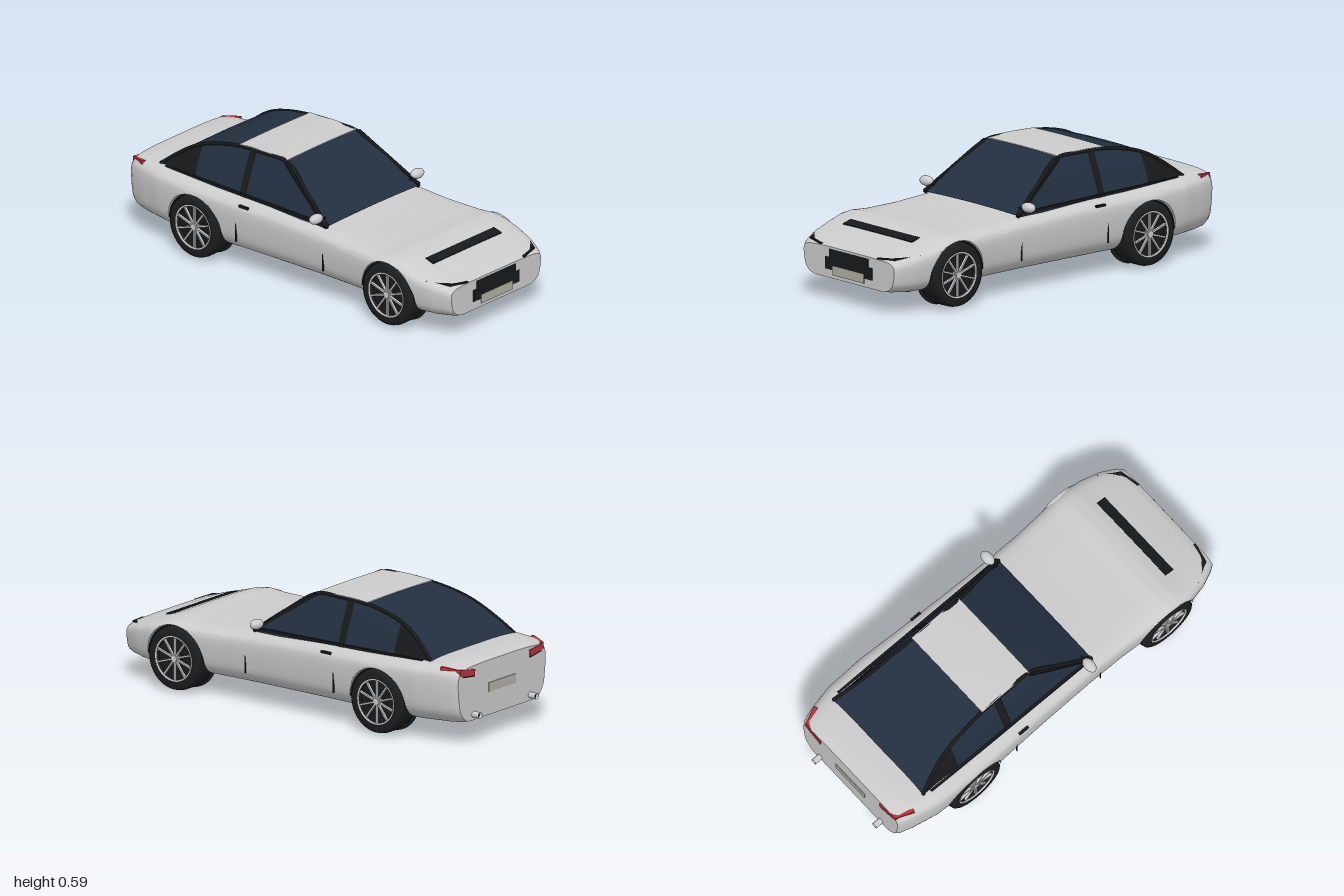
import * as THREE from 'three';
import { toCreasedNormals } from 'three/addons/utils/BufferGeometryUtils.js';

const mat = (color) => new THREE.MeshStandardMaterial({ color, side: THREE.DoubleSide });
const paint = mat(0xcccccc), black = mat(0x17191b), glass = mat(0x232f40), red = mat(0xb8323c);
const plateMat = mat(0xb0b0a6), tyreMat = mat(0x1c1d1f), chrome = mat(0xcccccc);

// Stations along the body: z, half width, bottom, top
const BODY = [
  [0.995, 0.312, 0.1, 0.248], [0.97, 0.33, 0.096, 0.263], [0.9, 0.362, 0.092, 0.285], [0.8, 0.385, 0.09, 0.312],
  [0.73, 0.388, 0.09, 0.335], [0.67, 0.388, 0.09, 0.344], [0.58, 0.385, 0.09, 0.337], [0.4, 0.374, 0.09, 0.34],
  [0.2, 0.371, 0.09, 0.352], [-0.1, 0.377, 0.09, 0.364], [-0.35, 0.386, 0.09, 0.37], [-0.55, 0.395, 0.09, 0.376],
  [-0.75, 0.387, 0.092, 0.385], [-0.88, 0.36, 0.095, 0.386], [-0.94, 0.34, 0.098, 0.38], [-0.96, 0.325, 0.103, 0.365],
];
// Stations along the cabin: z, top height, top half width, base half width
const CABIN = [
  [0.24, 0.352, 0.322, 0.324], [0.08, 0.47, 0.281, 0.324], [-0.07, 0.566, 0.242, 0.325], [-0.2, 0.571, 0.24, 0.325],
  [-0.36, 0.565, 0.24, 0.325], [-0.48, 0.546, 0.247, 0.324], [-0.58, 0.517, 0.256, 0.322], [-0.65, 0.482, 0.268, 0.32],
  [-0.72, 0.434, 0.288, 0.316], [-0.79, 0.378, 0.31, 0.312],
];
const WHEELS = [0.66, -0.525], AXLE = 0.152, ARCH = 0.162;

// Values of a station table at any z
function at(table, z) {
  let i = 0;
  while (i < table.length - 2 && z < table[i + 1][0]) i++;
  const a = table[i], b = table[i + 1], t = (z - a[0]) / (b[0] - a[0]);
  return a.map((v, k) => v + (b[k] - v) * t);
}

// Surface through rows of points
function sheet(rows, crease = 0.7) {
  const n = rows[0].length, index = [];
  for (let i = 0; i < rows.length - 1; i++) for (let j = 0; j < n - 1; j++) {
    const a = i * n + j, b = a + n;
    index.push(a, b, a + 1, b, b + 1, a + 1);
  }
  const g = new THREE.BufferGeometry();
  g.setAttribute('position', new THREE.Float32BufferAttribute(rows.flat(2), 3));
  g.setIndex(index);
  return toCreasedNormals(g, crease);
}

function add(group, name, geometry, material, x = 0, y = 0, z = 0) {
  const m = new THREE.Mesh(geometry, material);
  m.name = name;
  m.position.set(x, y, z);
  group.add(m);
  return m;
}
const box = (w, h, d) => new THREE.BoxGeometry(w, h, d);

// Rectangular bar from p to q
function bar(group, name, p, q, w, h, material) {
  const a = new THREE.Vector3(...p), b = new THREE.Vector3(...q);
  const m = add(group, name, box(w, h, a.distanceTo(b)), material);
  m.position.copy(a).add(b).multiplyScalar(0.5);
  m.lookAt(b);
  return m;
}

function bodyGeometry() {
  const half = new THREE.SplineCurve([[0.62, 0], [0.7, 0], [0.82, 0.03], [0.94, 0.19], [0.985, 0.45], [1, 0.76], [0.96, 0.89],
    [0.84, 0.965], [0.5, 0.995], [0, 1]].map((p) => new THREE.Vector2(...p))).getPoints(36);
  const right = [new THREE.Vector2(0, 0), ...half];
  const profile = [...right, ...right.slice(0, -1).reverse().map((p) => new THREE.Vector2(-p.x, p.y))];
  const zs = BODY.map((s) => s[0]);
  for (let i = 1; i < 50; i++) zs.push(0.995 - i * 0.0391);
  for (const c of WHEELS) for (let i = 0; i <= 20; i++) {
    const dz = -Math.cos(i / 20 * Math.PI) * ARCH;
    zs.push(c + dz);
    if (i % 20 === 0) zs.push(c + dz * 1.005);
  }
  zs.sort((a, b) => b - a);
  const rows = zs.map((z) => {
    const [, w, lo, hi] = at(BODY, z);
    let arch = 0;
    for (const c of WHEELS) {
      const d = ARCH * ARCH - (z - c) ** 2;
      if (d > -1e-9) arch = AXLE + Math.sqrt(Math.max(d, 0));
    }
    // The wheel openings lift the lower edge of the skin
    return profile.map((p) => {
      const y = lo + p.y * (hi - lo);
      return [p.x * w, Math.abs(p.x * w) > 0.25 ? Math.max(y, Math.min(arch, hi - 0.02)) : y, z];
    });
  });
  // Flat nose and tail
  const cap = (row) => row.map(() => [0, 0.19, row[0][2]]);
  return sheet([cap(rows[0]), ...rows, cap(rows[rows.length - 1])], 0.6);
}

function wheel() {
  const g = new THREE.Group();
  const lathe = (pts) => new THREE.LatheGeometry(pts.map((p) => new THREE.Vector2(...p)), 48).rotateZ(-Math.PI / 2);
  add(g, 'tyre', toCreasedNormals(lathe([[0.1, -0.058], [0.138, -0.058], [0.148, -0.05], [0.152, -0.035], [0.152, 0.035],
    [0.148, 0.05], [0.138, 0.058], [0.108, 0.058], [0.104, 0.04], [0.1, -0.058]]), 0.7), tyreMat);
  add(g, 'rimRing', new THREE.TorusGeometry(0.105, 0.005, 8, 48).rotateY(Math.PI / 2), chrome, 0.055);
  add(g, 'rimDisc', new THREE.CylinderGeometry(0.104, 0.104, 0.06, 40).rotateZ(Math.PI / 2), black, 0.002);
  add(g, 'hub', new THREE.CylinderGeometry(0.016, 0.02, 0.026, 20).rotateZ(-Math.PI / 2), chrome, 0.043);
  for (let i = 0; i < 10; i++) {
    add(g, 'spoke', box(0.012, 0.092, 0.008).translate(0, 0.058, 0), chrome, 0.046).rotation.x = i * Math.PI / 5;
  }
  return g;
}

export function createModel() {
  const car = new THREE.Group();
  car.name = 'car';
  add(car, 'body', bodyGeometry(), paint);
  add(car, 'floor', box(0.48, 0.022, 1.53), black, 0, 0.087, 0.085);

  // Windscreen, under-roof and rear window in one curved strip
  const cabinZ = [];
  for (let i = 0; i <= 50; i++) cabinZ.push(0.24 - i * 0.0206);
  add(car, 'windscreenAndRearWindow', sheet(cabinZ.map((z) => {
    const [, y, x] = at(CABIN, z);
    return [-1, -0.5, 0, 0.5, 1].map((u) => [u * x, y + 0.006 * (1 - u * u), z]);
  })), glass);

  // Roof panel following the roof line
  const roof = box(0.49, 0.012, 0.29, 8, 1, 1);
  const roofGeo = new THREE.BoxGeometry(0.49, 0.01, 0.29, 6, 1, 8);
  const rp = roofGeo.attributes.position;
  for (let i = 0; i < rp.count; i++) {
    const z = rp.getZ(i) - 0.22;
    rp.setXYZ(i, rp.getX(i), rp.getY(i) + at(CABIN, z)[1] + 0.003 - 0.003 * (rp.getX(i) / 0.245) ** 2, z);
  }
  roof.dispose();
  roofGeo.computeVertexNormals();
  add(car, 'roof', toCreasedNormals(roofGeo, 0.6), paint);

  for (const s of [1, -1]) {
    // Side windows and the dark quarter panel behind them
    const side = (from, to, out) => {
      const rows = [];
      for (let i = 0; i <= 24; i++) {
        const z = from + (to - from) * i / 24, [, y, xt, xb] = at(CABIN, z);
        rows.push([[s * (xt + out), y, z], [s * ((xt + xb) / 2 + 0.006 + out), (y + 0.345) / 2, z], [s * (xb + out), 0.345, z]]);
      }
      return sheet(rows);
    };
    add(car, 'sideWindow', side(0.24, -0.58, 0), glass);
    add(car, 'quarterPanel', side(-0.575, -0.79, 0.001), black);
    add(car, 'centrePillar', side(-0.255, -0.295, 0.005), black);
    // Pillars and roof rail along the upper edge
    const edge = new THREE.CatmullRomCurve3(CABIN.map(([z, y, x]) => new THREE.Vector3(s * x, y - 0.005, z)));
    add(car, 'pillarRail', new THREE.TubeGeometry(edge, 60, 0.009, 8), black);
    bar(car, 'frontPillar', [s * 0.322, 0.352, 0.235], [s * 0.246, 0.56, -0.07], 0.026, 0.014, black);
    bar(car, 'windowSill', [s * 0.325, 0.36, 0.22], [s * 0.322, 0.372, -0.75], 0.012, 0.012, black);

    // Mirrors
    add(car, 'mirror', new THREE.SphereGeometry(1, 24, 16).scale(0.04, 0.024, 0.026), paint, s * 0.352, 0.39, 0.2);
    add(car, 'mirrorStalk', box(0.06, 0.012, 0.016), black, s * 0.322, 0.376, 0.2);

    // Lamps and exhausts
    bar(car, 'headlight', [s * 0.193, 0.249, 0.988], [s * 0.29, 0.257, 0.965], 0.016, 0.009, black);
    bar(car, 'headlight', [s * 0.285, 0.257, 0.968], [s * 0.345, 0.268, 0.865], 0.02, 0.009, black);
    bar(car, 'tailLight', [s * 0.205, 0.331, -0.958], [s * 0.31, 0.345, -0.954], 0.014, 0.03, red);
    bar(car, 'tailLight', [s * 0.303, 0.347, -0.955], [s * 0.339, 0.358, -0.87], 0.018, 0.028, red);
    bar(car, 'tailLightTrim', [s * 0.205, 0.313, -0.959], [s * 0.315, 0.326, -0.954], 0.01, 0.007, black);
    add(car, 'exhaust', new THREE.CylinderGeometry(0.015, 0.015, 0.06, 20, 1, true).rotateX(Math.PI / 2), chrome, s * 0.21, 0.13, -0.97);
    add(car, 'exhaustInside', new THREE.CircleGeometry(0.014, 20), black, s * 0.21, 0.13, -0.985);

    // Door seams and handle
    add(car, 'doorSeam', box(0.008, 0.11, 0.003), black, s * 0.366, 0.205, 0.255);
    add(car, 'doorSeam', box(0.008, 0.13, 0.003), black, s * 0.377, 0.215, -0.27);
    add(car, 'doorHandle', box(0.012, 0.011, 0.055), black, s * 0.374, 0.333, -0.225);

    // Wheels inside dark wells
    for (const z of WHEELS) {
      const w = wheel();
      w.name = 'wheel';
      w.position.set(s * 0.33, AXLE, z);
      if (s < 0) w.rotation.y = Math.PI;
      car.add(w);
      const well = new THREE.CylinderGeometry(0.159, 0.159, 0.12, 32, 1, true, 0, Math.PI).rotateZ(Math.PI / 2);
      add(car, 'wheelWell', well, black, s * 0.315, AXLE, z);
      add(car, 'wellWall', new THREE.CircleGeometry(0.159, 32).rotateY(Math.PI / 2), black, s * 0.262, AXLE, z);
    }
  }

  // Grille, plates and bonnet vent
  add(car, 'grilleUpper', box(0.27, 0.05, 0.01), black, 0, 0.212, 0.993);
  add(car, 'grilleLower', box(0.322, 0.058, 0.01), black, 0, 0.169, 0.993);
  add(car, 'frontPlate', box(0.214, 0.044, 0.01), plateMat, 0, 0.139, 0.995);
  add(car, 'rearPlate', box(0.2, 0.044, 0.008), plateMat, 0, 0.235, -0.96);
  add(car, 'bonnetVent', box(0.474, 0.01, 0.05), black, 0, 0.312, 0.795).rotation.x = 0.26;
  return car;
}
